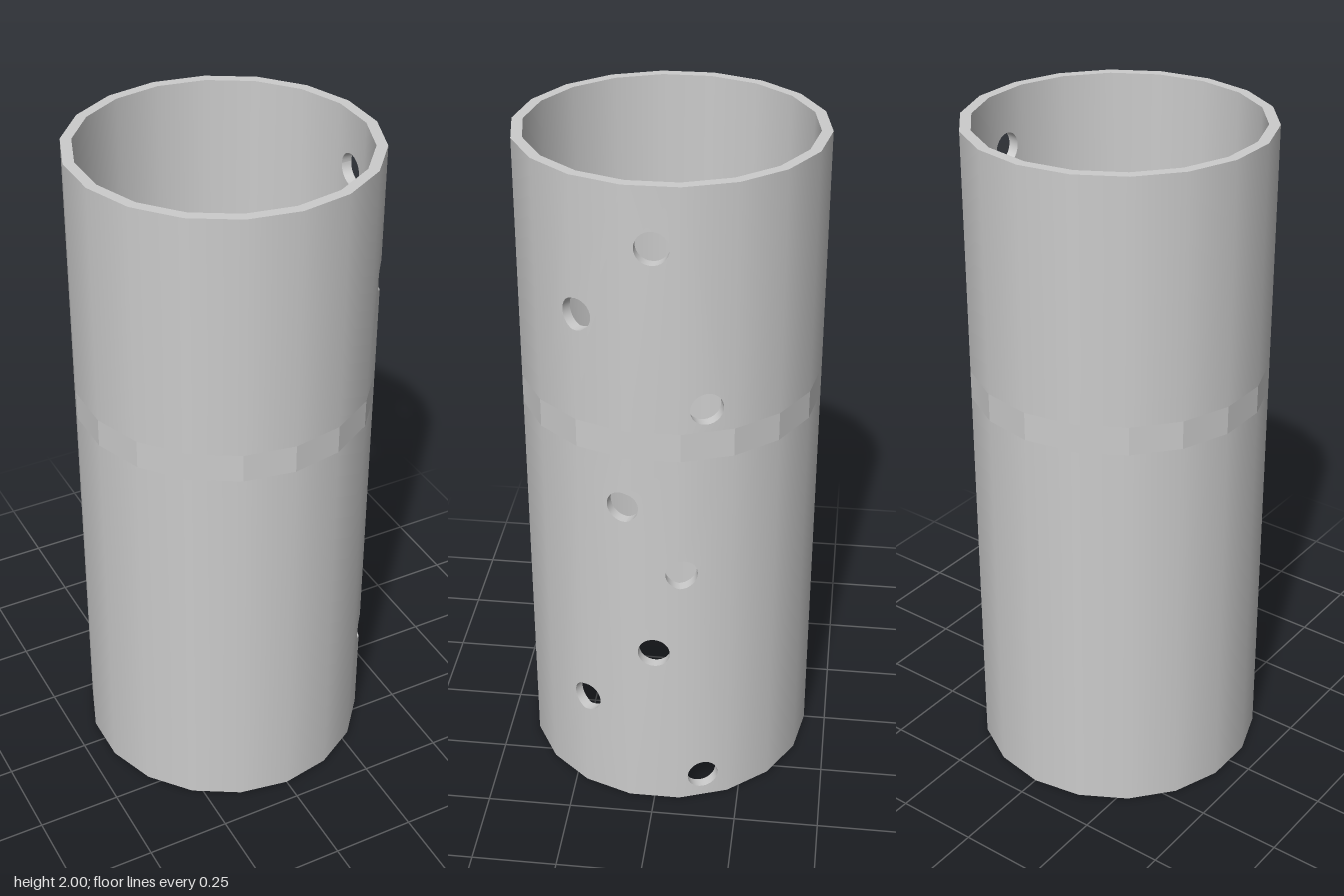
import * as THREE from 'three';
import { mergeGeometries } from 'three/addons/utils/BufferGeometryUtils.js';

const SIDES = 18, STEP = (2 * Math.PI) / SIDES;
const OUTER = 0.434, INNER = 0.403, HEIGHT = 2, HOLE_R = 0.047;
const BAND = [1.205, 1.29];

// Drilled holes: angle in degrees from +x towards -z, and height
const HOLES = [
  [0, 1.83], [-29, 1.61], [19.7, 1.36], [-11.7, 1.045],
  [10.7, 0.83], [0, 0.55], [-29, 0.33], [19.7, 0.08],
].map(([deg, y]) => ({ c: THREE.MathUtils.degToRad(deg), y }));

// Point on the many-sided tube from unrolled (angle, height)
function wrap(angle, y, R, k = Math.round(angle / STEP)) {
  const a0 = (k - 0.5) * STEP, a1 = a0 + STEP, t = (angle - a0) / STEP;
  const mix = (f) => R * THREE.MathUtils.lerp(f(a0), f(a1), t);
  return new THREE.Vector3(mix(Math.cos), y, -mix(Math.sin));
}

// Points along part of a hole's rim, in unrolled coordinates
function arc(hole, R, from, to, n = 16) {
  return Array.from({ length: n + 1 }, (_, i) => {
    const a = from + ((to - from) * i) / n;
    return new THREE.Vector2(hole.c + (HOLE_R / R) * Math.cos(a), hole.y + HOLE_R * Math.sin(a));
  });
}

// Where a hole's rim meets a facet edge (null when it does not)
function crossing(hole, edge, R) {
  const d = ((edge - hole.c) * R) / HOLE_R;
  return Math.abs(d) < 1 ? Math.acos(d) : null;
}

// One flat facet between two heights, notched or pierced by the holes
function facet(k, R, y0, y1, flat, inward) {
  const a0 = (k - 0.5) * STEP, a1 = (k + 0.5) * STEP;
  const holes = HOLES.filter((h) => h.y > y0 && h.y < y1).sort((a, b) => a.y - b.y);
  const right = [], left = [], inside = [];
  for (const h of holes) {
    const r = crossing(h, a1, R), l = crossing(h, a0, R);
    if (r !== null) right.push(...arc(h, R, 2 * Math.PI - r, r));
    else if (l !== null) left.unshift(...arc(h, R, l, -l));
    else if (h.c > a0 && h.c < a1) inside.push(arc(h, R, 2 * Math.PI, 0, 32).slice(0, -1));
  }
  const V = (x, y) => new THREE.Vector2(x, y);
  const shape = new THREE.Shape([V(a0, y0), V(a1, y0), ...right, V(a1, y1), V(a0, y1), ...left]);
  shape.holes = inside.map((pts) => new THREE.Path(pts));
  const geo = new THREE.ShapeGeometry(shape);
  const pos = geo.attributes.position, nor = geo.attributes.normal;
  const s = inward ? -1 : 1;
  for (let i = 0; i < pos.count; i++) {
    const angle = pos.getX(i), n = flat ? k * STEP : angle;
    const p = wrap(angle, pos.getY(i), R, k);
    pos.setXYZ(i, p.x, p.y, p.z);
    nor.setXYZ(i, s * Math.cos(n), 0, -s * Math.sin(n));
  }
  if (inward) geo.index.array.reverse();
  return geo;
}

function wall(R, y0, y1, flat, inward) {
  return mergeGeometries(
    Array.from({ length: SIDES }, (_, i) => facet(i - SIDES / 2, R, y0, y1, flat, inward)));
}

// Lining of a hole through the wall thickness
function holeLining(hole) {
  const k = Math.round(hole.c / STEP);
  const rim = (R) => {
    for (const [edge, kl, kr] of [[(k + 0.5) * STEP, k, k + 1], [(k - 0.5) * STEP, k - 1, k]]) {
      const a = crossing(hole, edge, R);
      if (a !== null) {
        return [
          ...arc(hole, R, 2 * Math.PI - a, a).map((p) => wrap(p.x, p.y, R, kl)),
          ...arc(hole, R, a, -a).map((p) => wrap(p.x, p.y, R, kr)),
        ];
      }
    }
    return arc(hole, R, 2 * Math.PI, 0, 32).map((p) => wrap(p.x, p.y, R, k));
  };
  const out = rim(OUTER), inn = rim(INNER), index = [];
  for (let i = 0; i < out.length - 1; i++) {
    const n = out.length;
    index.push(i, i + 1, n + i, i + 1, n + i + 1, n + i);
  }
  const geo = new THREE.BufferGeometry().setFromPoints([...out, ...inn]);
  geo.setIndex(index);
  geo.computeVertexNormals();
  return geo;
}

export function createModel() {
  const group = new THREE.Group();
  group.name = 'perforatedTube';
  const material = new THREE.MeshStandardMaterial({ color: 0xcccccc });
  const liningMaterial = new THREE.MeshStandardMaterial({ color: 0xcccccc, side: THREE.DoubleSide });
  const add = (name, geo, mat = material) => {
    const mesh = new THREE.Mesh(geo, mat);
    mesh.name = name;
    group.add(mesh);
    return mesh;
  };

  // Tube walls, with a faceted band around the outside
  add('lowerOuterWall', wall(OUTER, 0, BAND[0], false, false));
  add('facetedBand', wall(OUTER, BAND[0], BAND[1], true, false));
  add('upperOuterWall', wall(OUTER, BAND[1], HEIGHT, false, false));
  add('innerWall', wall(INNER, 0, HEIGHT, false, true));

  // End rims
  const ring = () => new THREE.RingGeometry(INNER, OUTER, SIDES, 1, STEP / 2);
  add('topRim', ring().rotateX(-Math.PI / 2).translate(0, HEIGHT, 0));
  add('bottomRim', ring().rotateX(Math.PI / 2));

  // Hole linings
  HOLES.forEach((h, i) => add(`holeLining${i + 1}`, holeLining(h), liningMaterial));
  return group;
}
